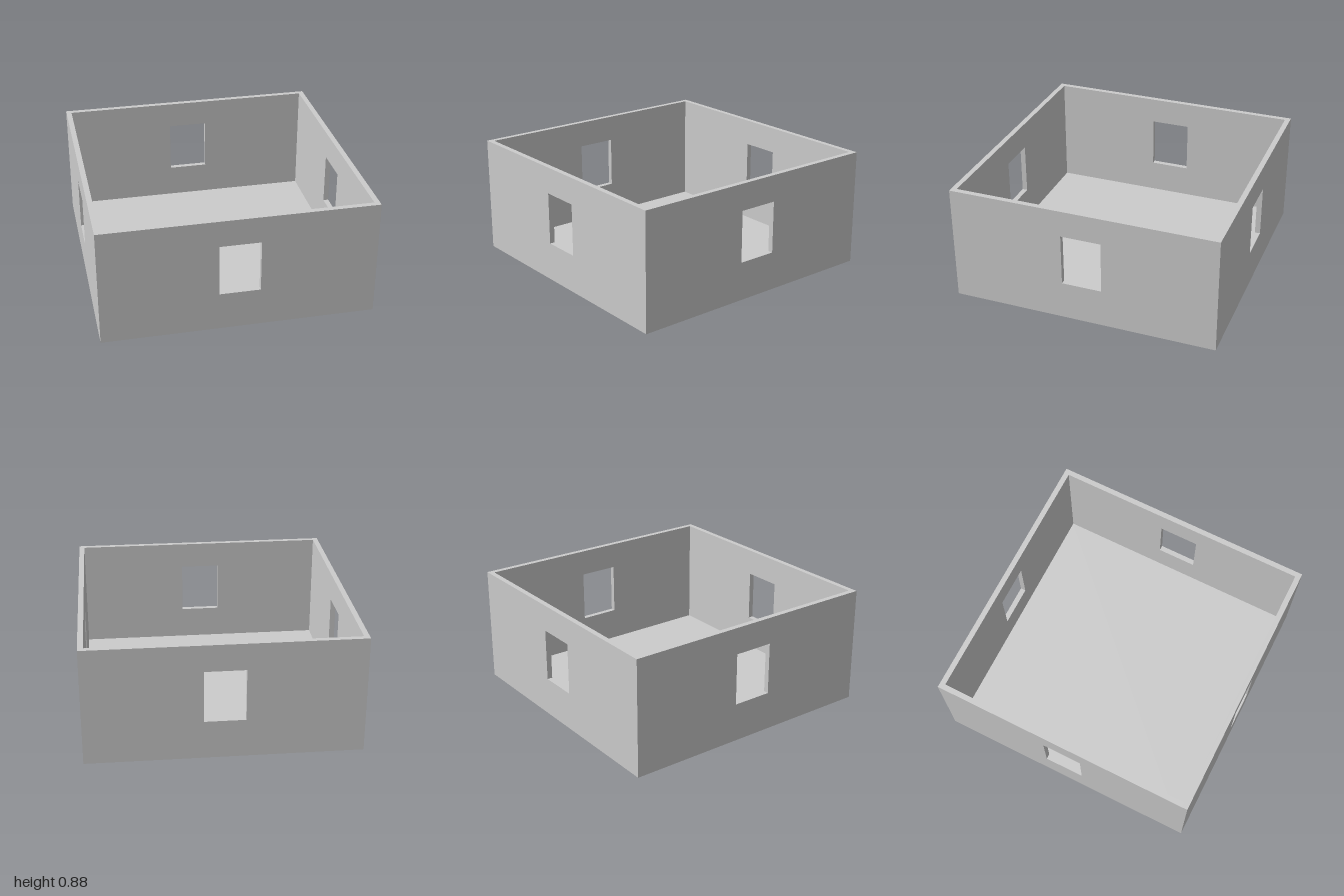
import * as THREE from 'three';

const SIZE = 2, HEIGHT = 0.88, THICK = 0.04;
const WINDOW = { halfWidth: 0.15, bottom: 0.29, top: 0.68 };

// Upright wall panel with a centred window, outer face at local z = 1
function wallGeometry(width) {
  const w = width / 2;
  const shape = new THREE.Shape();
  shape.moveTo(-w, THICK).lineTo(w, THICK).lineTo(w, HEIGHT).lineTo(-w, HEIGHT).closePath();
  const { halfWidth: h, bottom, top } = WINDOW;
  const hole = new THREE.Path();
  hole.moveTo(-h, bottom).lineTo(-h, top).lineTo(h, top).lineTo(h, bottom).closePath();
  shape.holes.push(hole);
  return new THREE.ExtrudeGeometry(shape, { depth: THICK, bevelEnabled: false })
    .translate(0, 0, SIZE / 2 - THICK);
}

export function createModel() {
  const group = new THREE.Group();
  group.name = 'openRoom';
  const material = new THREE.MeshStandardMaterial({ color: 0xcccccc });

  // Floor slab
  const floor = new THREE.Mesh(new THREE.BoxGeometry(SIZE, THICK, SIZE), material);
  floor.name = 'floor';
  floor.position.y = THICK / 2;
  group.add(floor);

  // Four walls; the side walls fit between the front and back ones
  const longWall = wallGeometry(SIZE);
  const shortWall = wallGeometry(SIZE - 2 * THICK);
  ['frontWall', 'leftWall', 'backWall', 'rightWall'].forEach((name, i) => {
    const wall = new THREE.Mesh(i % 2 ? shortWall : longWall, material);
    wall.name = name;
    wall.rotation.y = i * Math.PI / 2;
    group.add(wall);
  });

  return group;
}
